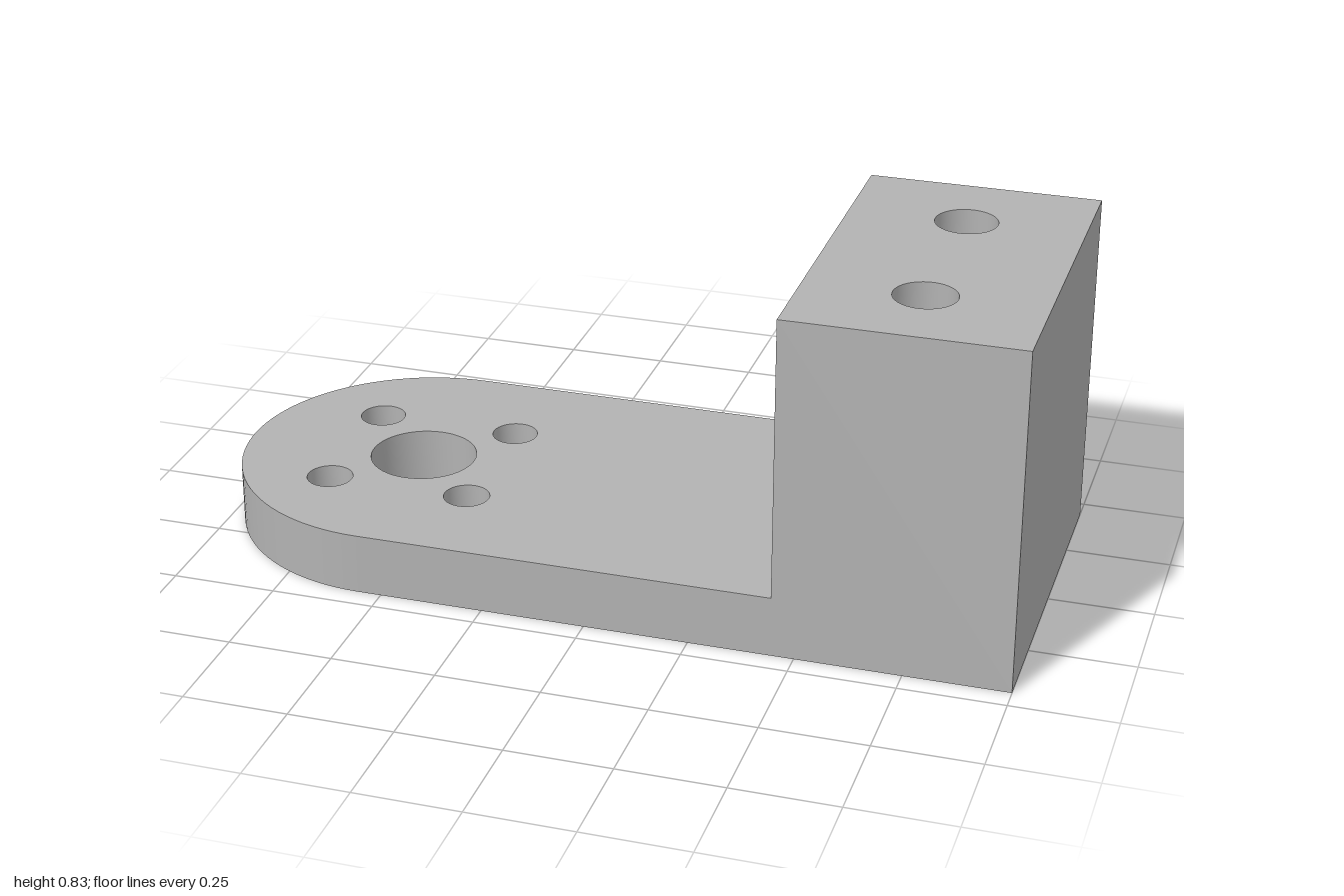
import * as THREE from 'three';
import { toCreasedNormals, mergeGeometries } from 'three/addons/utils/BufferGeometryUtils.js';

// Working units: 54 to one final unit
const HALF_LEN = 54, R = 24, PLATE = 8, HEIGHT = 45, STEP_X = 24;
const END_X = -HALF_LEN + R;          // centre of the rounded end
const SEG = 48;

const boltHoles = [-1, 1].flatMap(a => [-1, 1].map(b => [END_X + 9.5 * a, 9.5 * b]));
const blockHoles = [-1, 1].map(s => [39, 12 * s]);

function addHoles(shape, centres, radius) {
  for (const [x, z] of centres) {
    const hole = new THREE.Path();
    hole.absarc(x, z, radius, 0, Math.PI * 2, true);
    shape.holes.push(hole);
  }
  return shape;
}

// Footprint with a rounded end on the left, cut off at right
function footprint(right) {
  const s = new THREE.Shape();
  s.moveTo(right, -R);
  s.lineTo(right, R);
  s.lineTo(END_X, R);
  s.absarc(END_X, 0, R, Math.PI / 2, Math.PI * 1.5, false);
  s.lineTo(right, -R);
  return s;
}

// Horizontal face at a height, facing up or down
function cap(shape, y, up) {
  const g = new THREE.ShapeGeometry(shape, SEG / 2);
  g.rotateX(up ? -Math.PI / 2 : Math.PI / 2);
  return g.translate(0, y, 0);
}

// Vertical face across the width, facing +x or -x
function crossFace(x, y0, y1, dir) {
  return new THREE.PlaneGeometry(2 * R, y1 - y0)
    .rotateY(dir * Math.PI / 2).translate(x, (y0 + y1) / 2, 0);
}

// L-shaped long side, facing +z or -z
function longSide(dir) {
  const pts = [[END_X, 0], [HALF_LEN, 0], [HALF_LEN, HEIGHT], [STEP_X, HEIGHT], [STEP_X, PLATE], [END_X, PLATE]];
  const g = new THREE.ShapeGeometry(new THREE.Shape(pts.map(([x, y]) => new THREE.Vector2(x * dir, y))));
  if (dir < 0) g.rotateY(Math.PI);
  return g.translate(0, 0, dir * R);
}

// Inside of a hole; the profile runs downwards so it faces inwards
function bore(profile) {
  const g = new THREE.LatheGeometry(profile.map(([r, y]) => new THREE.Vector2(r, y)), SEG);
  return toCreasedNormals(g, Math.PI / 6);
}

export function createModel() {
  const grey = new THREE.MeshStandardMaterial({ color: 0xb2b2b2 });
  grey.name = 'machined grey';
  const model = new THREE.Group();
  model.name = 'mountingBracket';
  const add = (name, geometry, x = 0, z = 0) => {
    const mesh = new THREE.Mesh(geometry, grey);
    mesh.name = name;
    mesh.position.set(x, 0, z);
    model.add(mesh);
  };

  // Plate top and underside, with wider counterbores below
  const top = addHoles(addHoles(footprint(STEP_X), [[END_X, 0]], 7), boltHoles, 3);
  const bottom = addHoles(addHoles(footprint(HALF_LEN), [[END_X, 0]], 7), boltHoles, 5);
  add('plateTop', cap(top, PLATE, true));
  add('underside', cap(bottom, 0, false));
  add('roundedEnd', new THREE.CylinderGeometry(R, R, PLATE, SEG, 1, true, Math.PI, Math.PI)
    .translate(END_X, PLATE / 2, 0));

  // Outer walls shared by plate and block
  add('longSides', mergeGeometries([longSide(1), longSide(-1)]));
  add('blockEnds', mergeGeometries([
    crossFace(STEP_X, PLATE, HEIGHT, -1), crossFace(HALF_LEN, 0, HEIGHT, 1)]));

  // Block top with two holes
  const blockTop = new THREE.Shape([[STEP_X, -R], [HALF_LEN, -R], [HALF_LEN, R], [STEP_X, R]]
    .map(([x, z]) => new THREE.Vector2(x, z)));
  add('blockTop', cap(addHoles(blockTop, blockHoles, 4), HEIGHT, true));

  // Hole walls: through hole, counterbored bolt holes, blind holes
  add('centreBore', bore([[7, PLATE], [7, 0]]), END_X, 0);
  for (const [x, z] of boltHoles) add('boltBore', bore([[3, PLATE], [3, 4], [5, 4], [5, 0]]), x, z);
  for (const [x, z] of blockHoles) add('blindBore', bore([[4, HEIGHT], [4, HEIGHT - 20], [0, HEIGHT - 20]]), x, z);

  model.scale.setScalar(1 / HALF_LEN);
  return model;
}
